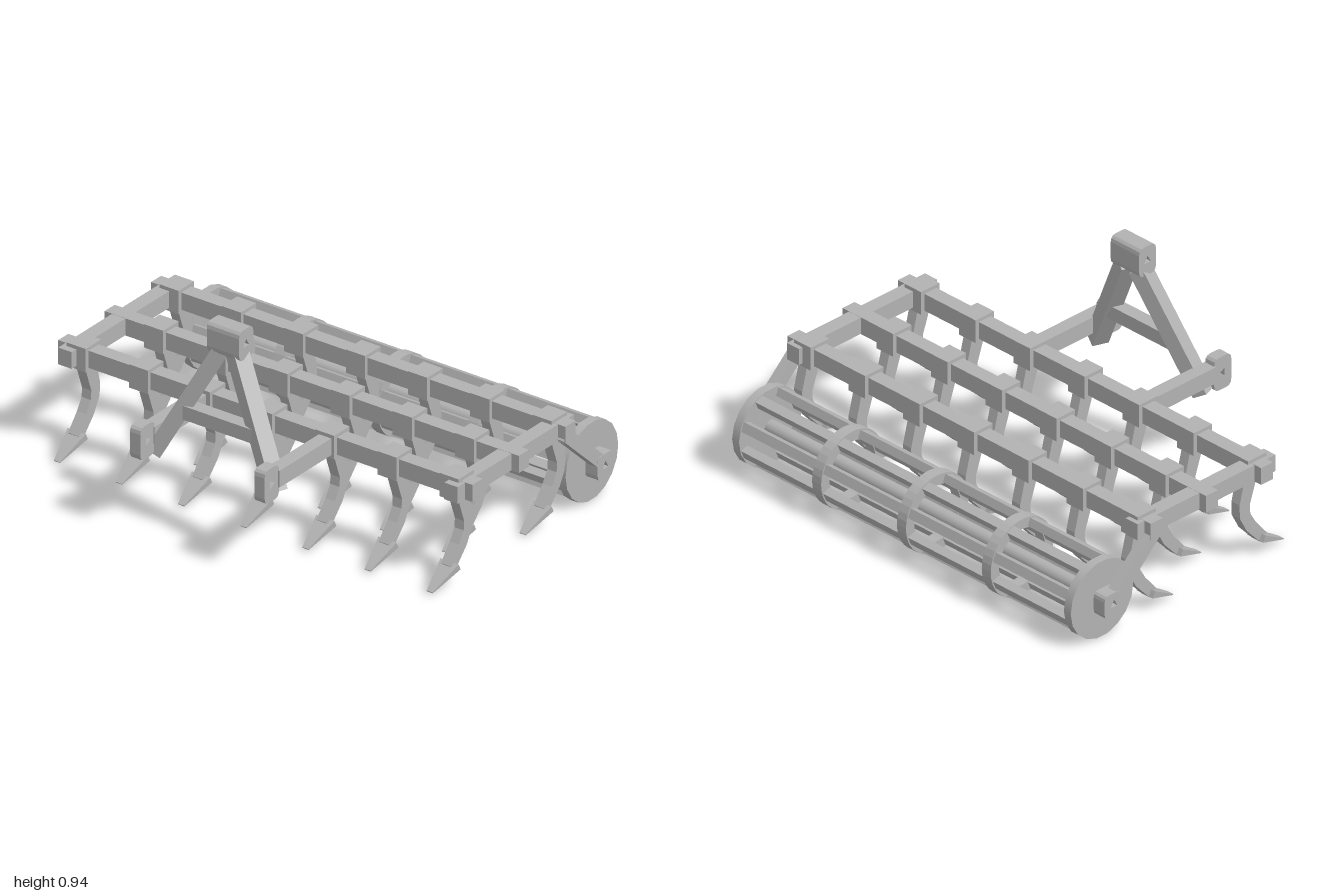
import * as THREE from 'three';

export function createModel() {
  const model = new THREE.Group();
  const steel = new THREE.MeshStandardMaterial({ color: 0xb2b2b2 });
  steel.name = 'steel grey';

  const add = (name, geometry, x = 0, y = 0, z = 0) => {
    const mesh = new THREE.Mesh(geometry, steel);
    mesh.name = name;
    mesh.position.set(x, y, z);
    model.add(mesh);
    return mesh;
  };
  const box = (name, w, h, d, x, y, z) => add(name, new THREE.BoxGeometry(w, h, d), x, y, z);

  // Square tube between two points
  const beam = (name, a, b, w, h) => {
    const from = new THREE.Vector3(...a), to = new THREE.Vector3(...b);
    const mesh = box(name, w, h, from.distanceTo(to), 0, 0, 0);
    mesh.position.copy(from).add(to).multiplyScalar(0.5);
    mesh.lookAt(to);
    return mesh;
  };

  // Side profile in (z, y), extruded across x and centred
  const sideExtrude = (shape, width) =>
    new THREE.ExtrudeGeometry(shape, { depth: width, bevelEnabled: false, curveSegments: 3 })
      .translate(0, 0, -width / 2)
      .rotateY(-Math.PI / 2);

  // Rounded lug with a three-sided pin hole
  const lugGeometry = (d, h, width, turn, r = 0.028) => {
    const s = new THREE.Shape();
    const a = d / 2, b = h / 2;
    s.moveTo(-a + r, -b);
    s.lineTo(a - r, -b);
    s.quadraticCurveTo(a, -b, a, -b + r);
    s.lineTo(a, b - r);
    s.quadraticCurveTo(a, b, a - r, b);
    s.lineTo(-a + r, b);
    s.quadraticCurveTo(-a, b, -a, b - r);
    s.lineTo(-a, -b + r);
    s.quadraticCurveTo(-a, -b, -a + r, -b);
    const hole = [0, 1, 2].map(i => {
      const t = turn - i * Math.PI * 2 / 3;
      return new THREE.Vector2(Math.cos(t) * 0.021, Math.sin(t) * 0.021);
    });
    s.holes.push(new THREE.Path(hole));
    return sideExtrude(s, width);
  };

  // Curved tine shank, with z relative to its cross bar
  const shankGeometry = sideExtrude(new THREE.Shape([
    [0.025, 0.38], [-0.045, 0.38], [-0.073, 0.27], [-0.072, 0.21], [-0.035, 0.14],
    [0.039, 0.06], [0.073, 0.09], [0.015, 0.16], [-0.015, 0.21], [-0.018, 0.25],
    [0.01, 0.33],
  ].map(p => new THREE.Vector2(...p))), 0.045);

  // Share: a wedge pinched to a narrow tip
  const shareGeometry = new THREE.BoxGeometry(0.088, 0.03, 0.15);
  const pos = shareGeometry.attributes.position;
  for (let i = 0; i < pos.count; i++) {
    if (pos.getZ(i) > 0) {
      pos.setX(i, pos.getX(i) * 0.33);
      pos.setY(i, pos.getY(i) * 0.15);
    }
  }
  shareGeometry.rotateX(0.46);
  shareGeometry.computeVertexNormals();

  // Cross bars with clamps and tines
  const rows = [
    { z: 0.265, xs: [-0.9, -0.6, -0.3, 0, 0.3, 0.6, 0.9] },
    { z: -0.035, xs: [-0.75, -0.45, -0.15, 0.15, 0.45, 0.75] },
    { z: -0.335, xs: [-0.9, -0.6, -0.3, 0, 0.3, 0.6, 0.9] },
  ];
  for (const { z, xs } of rows) {
    box('crossBar', 2, 0.075, 0.065, 0, 0.416, z);
    for (const x of xs) {
      box('tineClamp', 0.092, 0.102, 0.1, x, 0.417, z);
      add('tineShank', shankGeometry, x, 0, z);
      add('tineShare', shareGeometry, x, 0.047, z + 0.107);
    }
  }

  for (const s of [-1, 1]) {
    // Side rails and hitch arms
    box('sideRail', 0.065, 0.073, 0.75, s * 0.932, 0.416, -0.03);
    box('hitchArm', 0.06, 0.073, 0.42, s * 0.302, 0.416, 0.44);
    add('lowerHitchLug', lugGeometry(0.093, 0.146, 0.05, Math.PI), s * 0.3, 0.408, 0.69);

    // Mast legs
    beam('mastLeg', [s * 0.292, 0.335, 0.618], [s * 0.035, 0.825, 0.525], 0.07, 0.066);

    // Roller arms and bearings
    beam('rollerArm', [s * 0.975, 0.41, -0.315], [s * 0.975, 0.2, -0.54], 0.042, 0.055);
    add('rollerBearing', lugGeometry(0.102, 0.104, 0.06, Math.PI / 2, 0.025), s * 0.968, 0.173, -0.565);
  }
  box('mastCrossBar', 0.38, 0.06, 0.06, 0, 0.533, 0.58);
  add('topHitchLug', lugGeometry(0.092, 0.13, 0.156, Math.PI / 2), 0, 0.876, 0.525);

  // Cage roller
  const roller = new THREE.Group();
  roller.name = 'cageRoller';
  roller.position.set(0, 0.172, -0.565);
  model.add(roller);
  const addRoller = (name, geometry, x = 0, y = 0, z = 0) => {
    const mesh = add(name, geometry, x, y, z);
    roller.add(mesh);
    return mesh;
  };
  const R = 0.17;
  const disc = new THREE.CylinderGeometry(R, R, 0.038, 18).rotateZ(Math.PI / 2);
  for (const s of [-1, 1]) addRoller('rollerEndDisc', disc, s * 0.913);

  const ringShape = new THREE.Shape().absarc(0, 0, R, 0, Math.PI * 2);
  ringShape.holes.push(new THREE.Path().absarc(0, 0, 0.125, 0, Math.PI * 2, true));
  const ring = new THREE.ExtrudeGeometry(ringShape, { depth: 0.05, bevelEnabled: false, curveSegments: 18 })
    .translate(0, 0, -0.025)
    .rotateY(Math.PI / 2);
  for (const x of [-0.467, 0, 0.467]) addRoller('rollerRing', ring, x);

  for (let i = 0; i < 8; i++) {
    const a = (i + 0.5) * Math.PI / 4;
    const bar = addRoller('rollerBar', new THREE.BoxGeometry(1.82, 0.04, 0.035),
      0, Math.sin(a) * 0.146, Math.cos(a) * 0.146);
    bar.rotation.x = -a;
  }
  addRoller('rollerAxle', new THREE.CylinderGeometry(0.032, 0.032, 1.88, 12).rotateZ(Math.PI / 2));

  return model;
}
